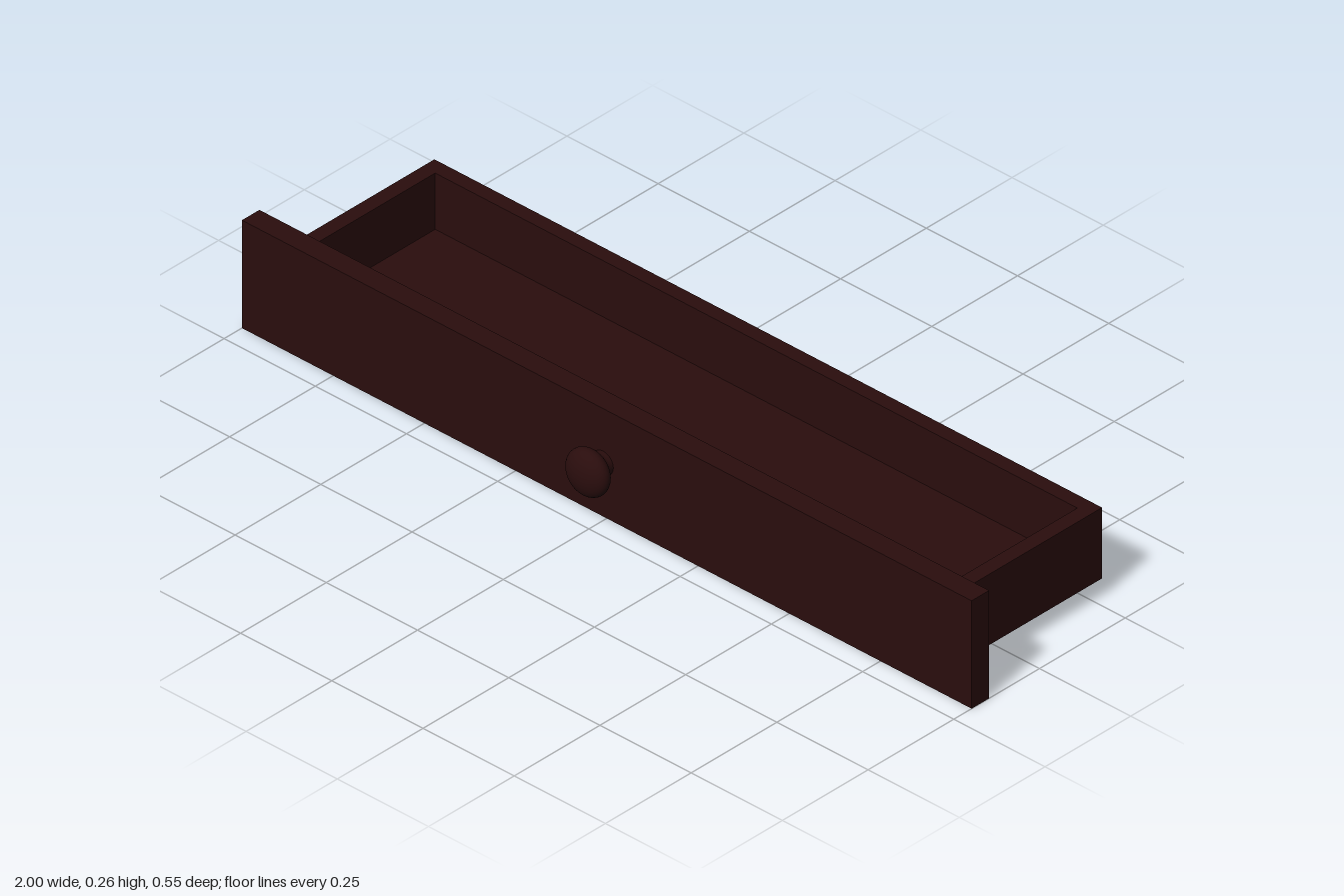
import * as THREE from 'three';

export function createModel() {
  const drawer = new THREE.Group();
  drawer.name = 'drawer';
  const wood = new THREE.MeshStandardMaterial({ color: 0x2a0d0d });

  const add = (name, geometry, x, y, z) => {
    const mesh = new THREE.Mesh(geometry, wood);
    mesh.name = name;
    mesh.position.set(x, y, z);
    drawer.add(mesh);
    return mesh;
  };
  // Box given by its lower and upper corners
  const board = (name, [x0, y0, z0], [x1, y1, z1]) =>
    add(name, new THREE.BoxGeometry(x1 - x0, y1 - y0, z1 - z0),
      (x0 + x1) / 2, (y0 + y1) / 2, (z0 + z1) / 2);

  const W = 0.915, bottom = 0.045, top = 0.215, back = -0.273, face = 0.147, t = 0.035;

  // Overhanging front panel
  board('frontPanel', [-1, 0, face], [1, 0.259, 0.198]);

  // Open tray behind the panel
  board('floor', [-W + t, bottom, back + t], [W - t, bottom + t, face - t]);
  board('backWall', [-W, bottom, back], [W, top, back + t]);
  board('innerFrontWall', [-W, bottom, face - t], [W, top, face]);
  board('rightWall', [-W, bottom, back + t], [-W + t, top, face - t]);
  board('leftWall', [W - t, bottom, back + t], [W, top, face - t]);

  // Turned knob: a flared neck and a flattened ball
  const neckProfile = [[0.028, -0.005], [0.028, 0.008], [0.031, 0.016], [0.036, 0.025]]
    .map(([r, h]) => new THREE.Vector2(r, h));
  const neck = add('knobNeck', new THREE.LatheGeometry(neckProfile, 32), -0.01, 0.129, 0.198);
  neck.rotation.x = Math.PI / 2;
  const knob = add('knob', new THREE.SphereGeometry(0.055, 32, 24), -0.01, 0.128, 0.242);
  knob.rotation.x = Math.PI / 2;
  knob.scale.y = 0.57;

  return drawer;
}
